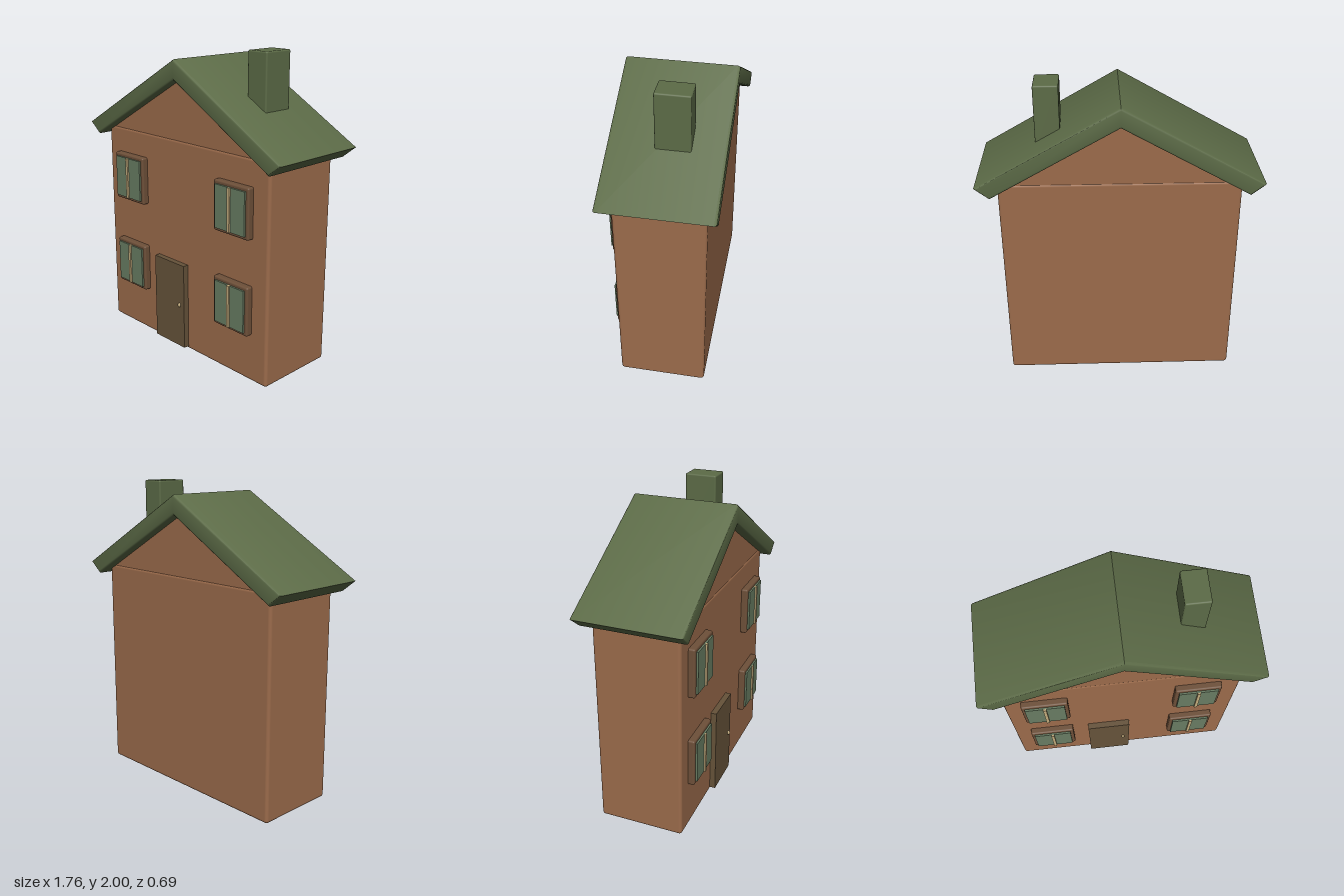
import * as THREE from 'three';
import { RoundedBoxGeometry } from 'three/addons/geometries/RoundedBoxGeometry.js';
import { toCreasedNormals } from 'three/addons/utils/BufferGeometryUtils.js';

const paint = (color) => new THREE.MeshStandardMaterial({ color });
const brick = paint(0x9b6b4b);
const green = paint(0x5c6b47);
const frameWood = paint(0x6e5039);
const doorWood = paint(0x66533a);
const glass = paint(0x687c62);
const brass = paint(0xc2ab7c);

function part(name, geometry, material) {
  const mesh = new THREE.Mesh(geometry, material);
  mesh.name = name;
  return mesh;
}

// Box given by its low and high corners, with optional rounded edges
function box(name, material, [x0, y0, z0], [x1, y1, z1], radius = 0) {
  const size = [x1 - x0, y1 - y0, z1 - z0];
  const geometry = radius
    ? new RoundedBoxGeometry(...size, 3, radius)
    : new THREE.BoxGeometry(...size);
  const mesh = part(name, geometry, material);
  mesh.position.set((x0 + x1) / 2, (y0 + y1) / 2, (z0 + z1) / 2);
  return mesh;
}

// Front outline extruded evenly about z = 0, keeping its outline when bevelled
function slab(name, material, points, depth, bevel = 0) {
  const shape = new THREE.Shape(points.map(([x, y]) => new THREE.Vector2(x, y)));
  const geometry = new THREE.ExtrudeGeometry(shape, {
    depth: depth - 2 * bevel,
    bevelEnabled: bevel > 0,
    bevelSize: bevel,
    bevelThickness: bevel,
    bevelOffset: -bevel,
    bevelSegments: 3,
  });
  geometry.translate(0, 0, bevel - depth / 2);
  return part(name, toCreasedNormals(geometry, 0.6), material);
}

// Window centred on the origin, its back on z = 0
function makeWindow() {
  const group = new THREE.Group();
  group.name = 'window';
  group.add(
    box('windowFrame', frameWood, [-0.146, -0.161, -0.01], [0.146, 0.161, 0.042], 0.012),
    box('windowPane', glass, [-0.124, -0.138, 0.02], [0.124, 0.138, 0.054]),
    box('windowBar', brass, [-0.01, -0.138, 0.03], [0.01, 0.138, 0.065]),
  );
  return group;
}

export function createModel() {
  const house = new THREE.Group();
  house.name = 'house';

  // Walls and gable
  house.add(
    box('walls', brick, [-0.748, 0, -0.277], [0.748, 1.425, 0.279], 0.02),
    slab('gable', brick, [[-0.72, 1.42], [0.72, 1.42], [0, 1.83]], 0.552),
  );

  // Pitched roof with overhanging eaves
  house.add(slab('roof', green, [
    [0, 1.936], [-0.88, 1.434], [-0.79, 1.362],
    [0, 1.81], [0.79, 1.362], [0.88, 1.434],
  ], 0.69, 0.015));

  // Chimney
  house.add(box('chimney', green, [0.36, 1.6, -0.143], [0.513, 2, 0.068], 0.01));

  // Windows, two on each storey
  for (const x of [-0.491, 0.477]) {
    for (const y of [0.475, 1.095]) {
      const win = makeWindow();
      win.position.set(x, y, 0.279);
      house.add(win);
    }
  }

  // Door and knob
  house.add(box('door', doorWood, [-0.239, 0.02, 0.26], [0.048, 0.606, 0.317]));
  const knob = part('doorKnob', new THREE.SphereGeometry(0.015, 20, 14), brass);
  knob.scale.x = 0.65;
  knob.position.set(0.005, 0.321, 0.319);
  house.add(knob);

  return house;
}
